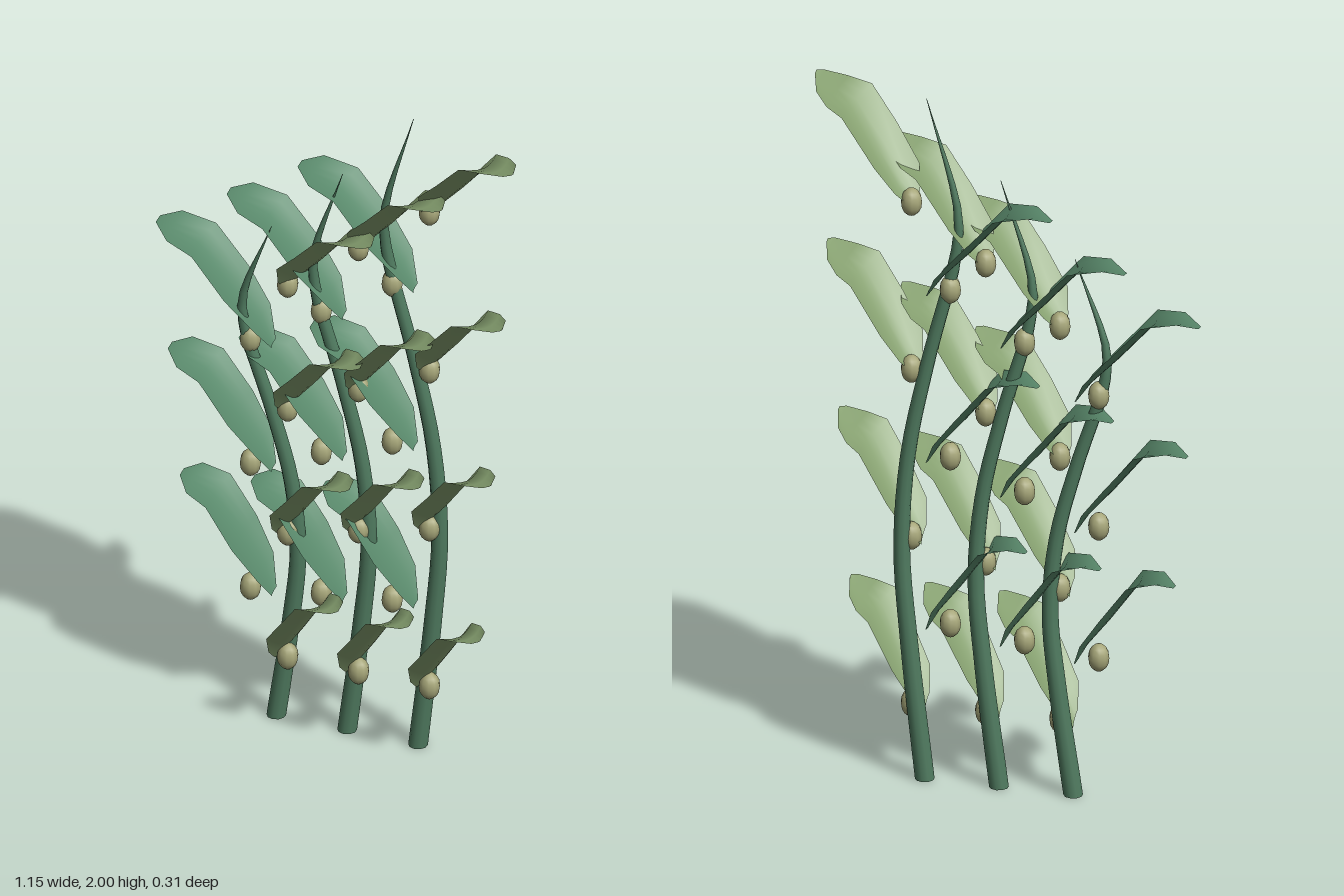
import * as THREE from 'three';

const mat = (color, side = THREE.FrontSide) => new THREE.MeshStandardMaterial({ color, side, roughness: 0.8 });
const stemMat = mat(0x4f7a5f);
const bulbMat = mat(0xa5a578);
const paleMat = mat(0x86a070, THREE.DoubleSide);
const deepMat = mat(0x5a8a6c, THREE.DoubleSide);

// Blade cross-sections from base to tip: front edge [x,y,z], back edge [x,y,z], keel depth
const RIGHT_BLADE = [
  [[-0.042, 0.02, 0.0], [-0.04, -0.02, -0.045], 0.004],
  [[-0.032, 0.085, 0.04], [0.0, 0.03, -0.065], 0.016],
  [[0.03, 0.17, 0.1], [0.045, 0.1, -0.068], 0.022],
  [[0.095, 0.26, 0.14], [0.125, 0.225, -0.035], 0.022],
  [[0.15, 0.27, 0.153], [0.165, 0.24, -0.005], 0.016],
  [[0.205, 0.278, 0.157], [0.2, 0.258, 0.05], 0.008],
  [[0.22, 0.28, 0.145], [0.22, 0.276, 0.13], 0],
];
const LEFT_BLADE = [
  [[0.065, -0.015, -0.03], [0.06, -0.01, -0.075], 0.004],
  [[0.035, 0.045, 0.005], [0.03, 0.065, -0.125], 0.012],
  [[-0.03, 0.135, 0.025], [-0.03, 0.155, -0.15], 0.018],
  [[-0.11, 0.25, 0.02], [-0.11, 0.265, -0.155], 0.018],
  [[-0.18, 0.265, -0.01], [-0.19, 0.285, -0.15], 0.012],
  [[-0.235, 0.265, -0.095], [-0.235, 0.27, -0.125], 0],
];

// Loft a gently folded leaf through its sections
function bladeGeometry(sections, side) {
  const across = 6, pos = [], index = [];
  sections.forEach(([f, b, keel], i) => {
    for (let j = 0; j <= across; j++) {
      const t = j / across;
      const p = new THREE.Vector3(...f).lerp(new THREE.Vector3(...b), t);
      const dip = keel * Math.sin(Math.PI * t);
      pos.push(p.x + side * dip * 0.7, p.y - dip * 0.7, p.z);
      if (i && j) {
        const d = i * (across + 1) + j, c = d - 1, q = d - across - 1, a = q - 1;
        if (side > 0) index.push(a, c, q, q, c, d);
        else index.push(a, q, c, q, d, c);
      }
    }
  });
  // Turn the winding so the upper face is the outside
  for (let k = 0; k < index.length; k += 3) [index[k + 1], index[k + 2]] = [index[k + 2], index[k + 1]];
  const g = new THREE.BufferGeometry();
  g.setAttribute('position', new THREE.Float32BufferAttribute(pos, 3));
  g.setIndex(index);
  g.computeVertexNormals();
  if (g.attributes.normal.getY(across + 4) < 0) {
    const ix = g.index.array;
    for (let k = 0; k < ix.length; k += 3) [ix[k + 1], ix[k + 2]] = [ix[k + 2], ix[k + 1]];
    g.computeVertexNormals();
  }
  return g;
}

// Swaying stalk that tapers to a point
function stalkGeometry(height) {
  const sway = [[0, 0], [0.045, 0.2], [0.067, 0.34], [0.05, 0.48], [-0.005, 0.62],
    [-0.08, 0.78], [-0.083, 0.84], [0.01, 1]];
  const path = new THREE.CatmullRomCurve3(
    sway.map(([x, t]) => new THREE.Vector3(x, t * height, -0.062 + 0.055 * t * t)));
  const rings = 32, sides = 10;
  const g = new THREE.TubeGeometry(path, rings, 0.027, sides);
  const p = g.attributes.position, v = new THREE.Vector3();
  for (let i = 0; i <= rings; i++) {
    const u = i / rings, c = path.getPointAt(u);
    const r = u < 0.75 ? 1 - 0.35 * u / 0.75 : 0.65 * (1 - u) / 0.25;
    for (let j = 0; j <= sides; j++) {
      const k = i * (sides + 1) + j;
      v.fromBufferAttribute(p, k).sub(c).multiplyScalar(Math.max(r, 0.03)).add(c);
      p.setXYZ(k, v.x, i ? v.y : 0, v.z);
    }
  }
  return g;
}

function add(parent, name, geometry, material, x = 0, y = 0, z = 0) {
  const m = new THREE.Mesh(geometry, material);
  m.name = name;
  m.position.set(x, y, z);
  parent.add(m);
  return m;
}

export function createModel() {
  const model = new THREE.Group();
  model.name = 'kelp';
  const rightGeo = bladeGeometry(RIGHT_BLADE, 1);
  const leftGeo = bladeGeometry(LEFT_BLADE, -1);
  const bulbGeo = new THREE.SphereGeometry(0.03, 10, 8).scale(1, 1.35, 1);
  const capGeo = new THREE.CircleGeometry(0.027, 10).rotateX(Math.PI / 2);

  [[-0.21, 1.57, 0.39], [0, 1.78, 0.444], [0.21, 2, 0.497]].forEach(([x, height, step]) => {
    const plant = new THREE.Group();
    plant.name = 'frond';
    plant.position.x = x;
    model.add(plant);
    add(plant, 'stalk', stalkGeometry(height), stemMat);
    add(plant, 'stalkBase', capGeo, stemMat, 0, 0, -0.062);

    // Four pale blades on one side, three deep green ones between them on the other
    for (let k = 0; k < 4; k++) {
      const y = 0.21 + step * k;
      add(plant, 'paleBlade', rightGeo, paleMat, 0.045 + 0.013 * k, y).scale.x = 1 + 0.09 * k;
      add(plant, 'bulb', bulbGeo, bulbMat, 0.045, y, -0.035);
      if (k === 3) continue;
      const yl = y + step / 2;
      add(plant, 'deepBlade', leftGeo, deepMat, -0.065 - 0.008 * k, yl).scale.x = 1 + 0.117 * k;
      add(plant, 'bulb', bulbGeo, bulbMat, -0.065, yl, -0.035);
    }
  });
  return model;
}
